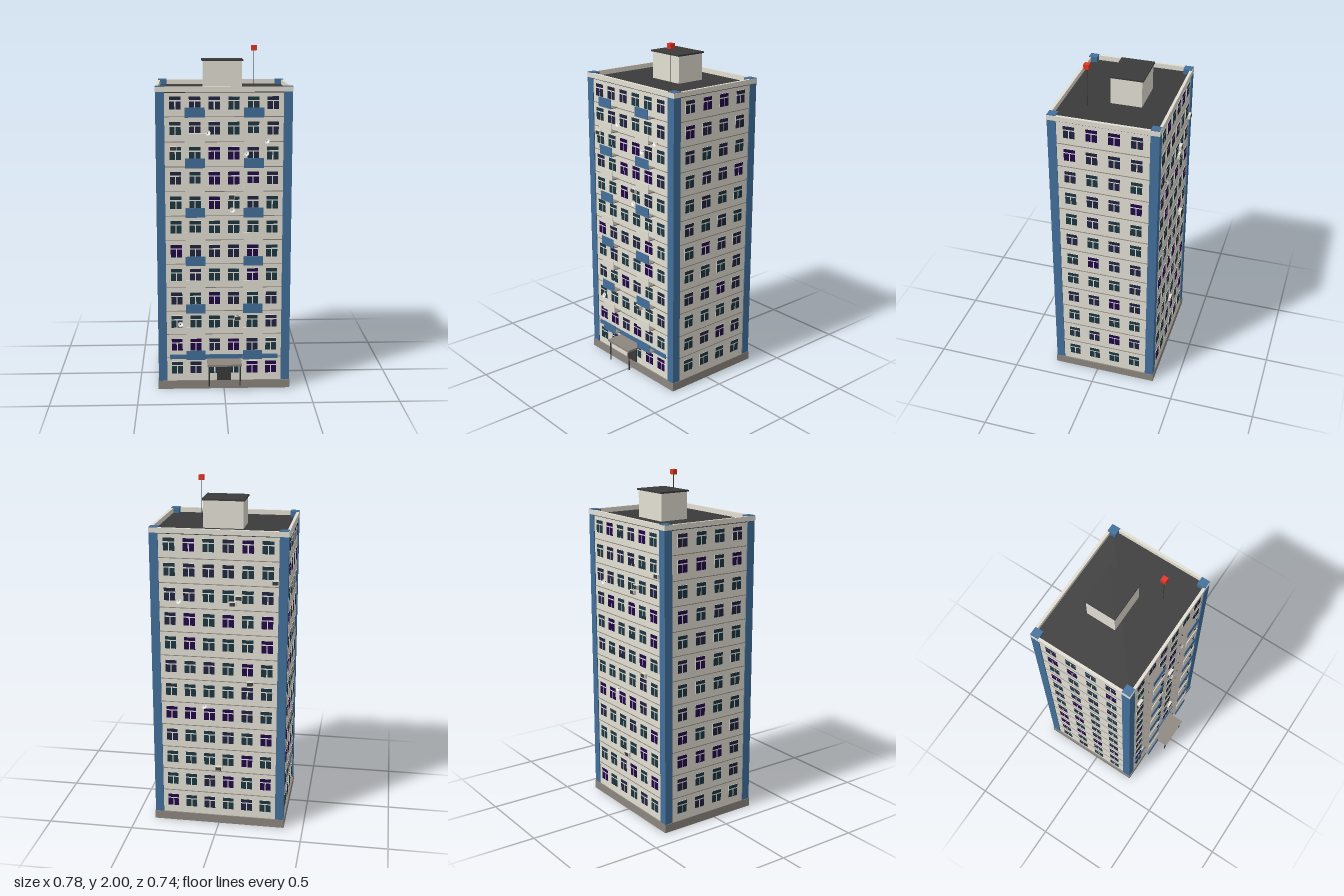
import * as THREE from 'three';
import { mergeGeometries } from 'three/addons/utils/BufferGeometryUtils.js';

const mat = (name, color, side = THREE.FrontSide) => {
  const m = new THREE.MeshStandardMaterial({ color, side });
  m.name = name;
  return m;
};

export function createModel() {
  const concrete = mat('pale concrete', 0xe3dfd4);
  const blue = mat('blue panel', 0x43709b);
  const stone = mat('grey brown stone', 0x8d867f);
  const tar = mat('dark roofing', 0x3b3b3b);
  const seamMat = mat('panel seam', 0x8d867c);
  const red = mat('beacon red', 0xe23522);
  const teal = mat('teal glass', 0x1d363f);
  const navy = mat('navy glass', 0x20233e);
  const purple = mat('purple glass', 0x200546);
  const white = mat('off white', 0xf3f2ee, THREE.DoubleSide);

  const model = new THREE.Group();
  model.name = 'apartmentTower';

  // Box given by its extents on each axis
  const box = (name, m, x0, x1, y0, y1, z0, z1, parent = model) => {
    const b = new THREE.Mesh(new THREE.BoxGeometry(x1 - x0, y1 - y0, z1 - z0), m);
    b.position.set((x0 + x1) / 2, (y0 + y1) / 2, (z0 + z1) / 2);
    b.name = name;
    parent.add(b);
    return b;
  };

  const ZC = -0.045, HX = 0.38, HZ = 0.305;        // tower centre and half sizes
  const FLOORS = 12, BASE = 0.05, TOP = 1.75, STEP = (TOP - BASE) / FLOORS;
  const FRONT = ZC + HZ, BACK = ZC - HZ;

  // Plinth, walls and roof deck
  box('plinth', stone, -0.388, 0.388, 0, BASE, ZC - 0.313, ZC + 0.313);
  box('walls', concrete, -HX, HX, BASE, TOP - 0.005, BACK, FRONT);
  box('roofDeck', tar, -HX, HX, TOP - 0.005, TOP, BACK, FRONT);

  // Parapet
  const PX = 0.387, PZ = 0.312;
  for (const s of [-1, 1]) {
    const zo = ZC + s * PZ, zi = ZC + s * (PZ - 0.016);
    box('parapetLong', concrete, -PX, PX, TOP, 1.778, Math.min(zo, zi), Math.max(zo, zi));
    const xo = s * PX, xi = s * (PX - 0.016);
    box('parapetShort', concrete, Math.min(xo, xi), Math.max(xo, xi), TOP, 1.778, ZC - PZ + 0.016, ZC + PZ - 0.016);
  }

  // Corner pillars running up through the parapet
  for (const sx of [-1, 1]) for (const sz of [-1, 1]) {
    const x = sx * 0.36, z = ZC + sz * 0.285;
    box('cornerPillar', blue, x - 0.025, x + 0.025, BASE, 1.781, z - 0.025, z + 0.025);
  }

  // Seams between storeys
  for (let i = 1; i < FLOORS; i++) {
    const y = BASE + i * STEP + 0.003;
    box('floorSeam', seamMat, -HX - 0.002, HX + 0.002, y - 0.002, y + 0.002, BACK - 0.002, FRONT + 0.002);
  }

  // Windows: a wide upper pane over two lower panes on a white frame; rows run from the top storey down
  let seed = 7;
  const rand = () => (seed = (seed * 16807) % 2147483647) / 2147483647;
  const frontRows = ['nnnttn', 'tnnttn', 'ttppnt', 'ntpppn', 'ttptnt', 'tttttt',
    'pnnnpt', 'tnttpt', 'ntpntn', 'tttttn', 'ppnpnt', 'tnttpp'];
  const rightRows = ['nppn', 'pnnn', 'ntnt', 'tnnp', 'tntt', 'ntnt', 'tpnn', 'tttn', 'nnpn', 'tttt', 'tnpn', 'tttt'];
  const parts = { t: [], n: [], p: [], frame: [] };
  const pane = (w, h, x, y) => new THREE.BoxGeometry(w, h, 0.006).translate(x, y, 0);
  const paneSet = () => mergeGeometries([
    pane(0.064, 0.020, 0, 0.026),
    pane(0.029, 0.045, -0.0175, -0.0135),
    pane(0.029, 0.045, 0.0175, -0.0135),
  ]);
  const facade = (cols, gap, turn, dist, rows) => {
    for (let f = 0; f < FLOORS; f++) for (let c = 0; c < cols; c++) {
      const r = rand();
      const key = rows ? rows[FLOORS - 1 - f][c] : r < 0.5 ? 't' : r < 0.8 ? 'n' : 'p';
      const place = (g) => g
        .translate((c - (cols - 1) / 2) * gap, BASE + 0.08 + f * STEP, dist)
        .rotateY(turn).translate(0, 0, ZC);
      parts[key].push(place(paneSet()));
      parts.frame.push(place(new THREE.BoxGeometry(0.065, 0.073, 0.004)));
    }
  };
  facade(6, 0.11, 0, HZ, frontRows);
  facade(6, 0.11, Math.PI, HZ);
  facade(4, 0.126, Math.PI / 2, HX, rightRows);
  facade(4, 0.126, -Math.PI / 2, HX);
  for (const [name, key, m] of [['tealWindows', 't', teal], ['navyWindows', 'n', navy],
    ['purpleWindows', 'p', purple], ['windowFrames', 'frame', white]]) {
    const mesh = new THREE.Mesh(mergeGeometries(parts[key]), m);
    mesh.name = name;
    model.add(mesh);
  }

  // Two stacks of balconies with alternating front panels
  for (const x of [-0.165, 0.165]) for (let f = 1; f < FLOORS; f++) {
    const y = BASE + f * STEP + 0.006;
    const g = new THREE.Group();
    g.name = 'balcony';
    box('balconySlab', stone, x - 0.055, x + 0.055, y - 0.003, y + 0.002, FRONT, 0.306, g);
    box('balconyPanel', f % 2 ? blue : concrete, x - 0.056, x + 0.056, y - 0.003, y + 0.052, 0.306, 0.31, g);
    model.add(g);
  }

  // Entrance: fascia band, canopy, posts and door
  box('fasciaBand', blue, -0.317, 0.317, 0.184, 0.21, FRONT, FRONT + 0.006);
  box('canopy', stone, -0.1, 0.1, 0.173, 0.185, FRONT, 0.37);
  box('door', tar, -0.042, 0.042, BASE, 0.163, FRONT, FRONT + 0.006);
  for (const x of [-0.09, 0.09]) {
    const post = new THREE.Mesh(new THREE.CylinderGeometry(0.004, 0.004, 0.125, 8), tar);
    post.position.set(x, 0.1125, 0.358);
    post.name = 'canopyPost';
    model.add(post);
  }

  // Lift house and mast with beacon
  box('liftHouse', concrete, -0.114, 0.114, TOP, 1.905, -0.184, -0.007);
  box('liftHouseRoof', tar, -0.121, 0.121, 1.905, 1.914, -0.192, 0);
  const mast = new THREE.Mesh(new THREE.CylinderGeometry(0.002, 0.002, 0.225, 6), tar);
  mast.position.set(0.175, 1.8625, 0.105);
  mast.name = 'mast';
  model.add(mast);
  box('beacon', red, 0.16, 0.19, 1.97, 2, 0.09, 0.12);

  // Air conditioners: [x, y, side]
  for (const [x, y, s] of [[-0.287, 1.435, 1], [0.042, 1.155, 1], [0.08, 0.435, 1],
    [-0.317, 1.495, -1], [-0.115, 1.4, -1], [-0.08, 1.365, -1], [-0.182, 0.9, -1], [0, 0.36, -1]]) {
    const g = new THREE.Group();
    g.name = 'airConditioner';
    box('unitCase', concrete, -0.02, 0.02, -0.013, 0.013, 0, 0.017, g);
    box('unitGrille', tar, -0.016, 0.016, -0.010, 0.010, 0.017, 0.019, g);
    g.position.set(x, y, s > 0 ? FRONT : BACK);
    if (s < 0) g.rotation.y = Math.PI;
    model.add(g);
  }

  // Satellite dishes: shallow caps tilted to the sky
  const dishGeo = new THREE.SphereGeometry(0.03, 14, 4, 0, Math.PI * 2, 0, 0.55)
    .translate(0, -0.03, 0).rotateX(-Math.PI / 2);
  for (const [x, y, s] of [[-0.093, 1.522, 1], [0.24, 1.475, 1], [0.125, 1.405, 1], [0.045, 1.08, 1],
    [-0.255, 0.4, 1], [0.224, 1.37, -1], [0.082, 0.75, -1]]) {
    const g = new THREE.Group();
    g.name = 'satelliteDish';
    const dish = new THREE.Mesh(dishGeo, white);
    dish.name = 'dishBowl';
    dish.position.z = 0.012;
    dish.rotation.x = -0.35;
    g.add(dish);
    box('dishArm', tar, -0.002, 0.002, -0.002, 0.002, 0, 0.014, g);
    g.position.set(x, y, s > 0 ? FRONT : BACK);
    if (s < 0) g.rotation.y = Math.PI;
    model.add(g);
  }
  return model;
}
